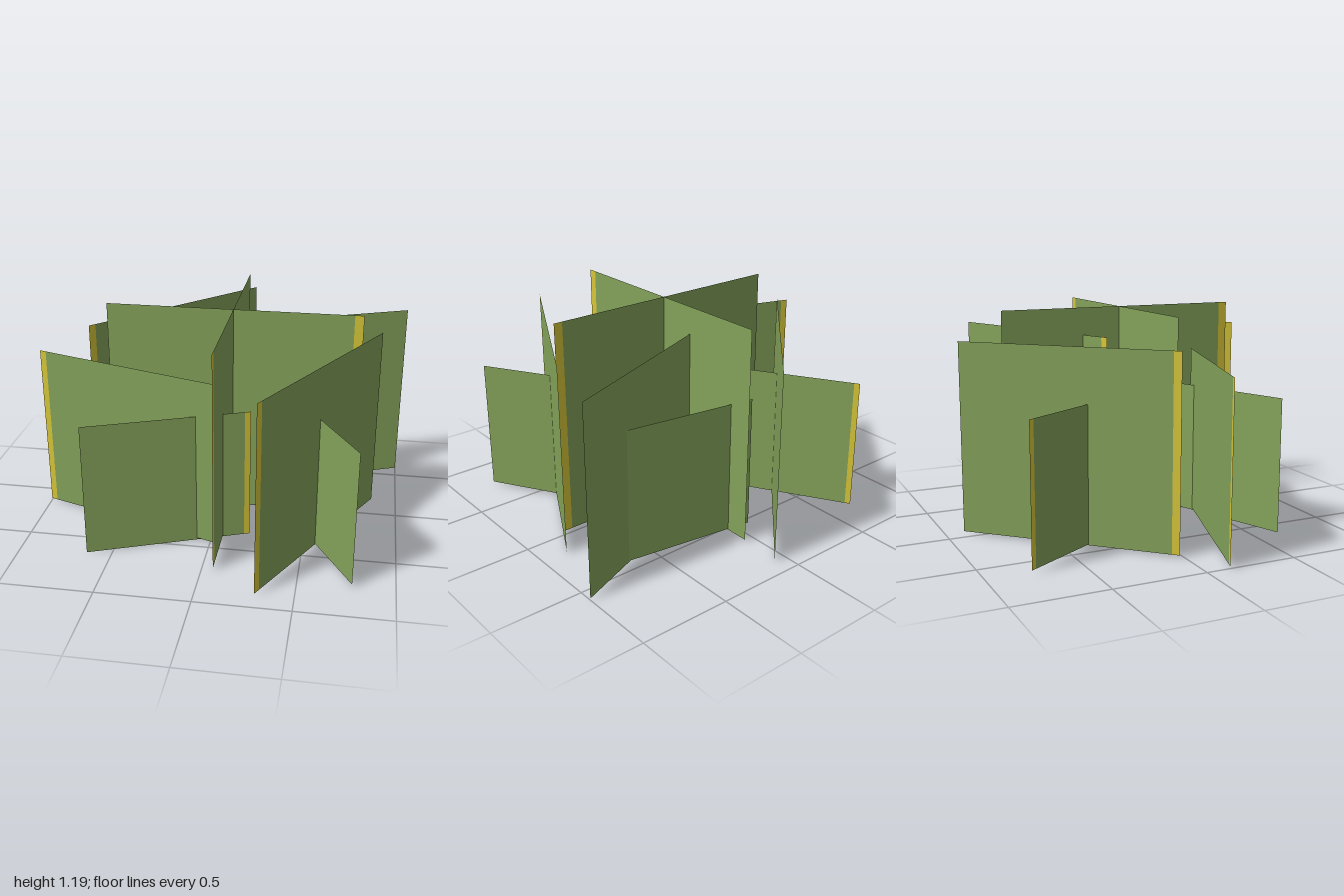
import * as THREE from 'three';

const green = new THREE.MeshStandardMaterial({ color: 0x83a159, side: THREE.DoubleSide });
green.name = 'leaf green';
const yellow = new THREE.MeshStandardMaterial({ color: 0xd6c538, side: THREE.DoubleSide });
yellow.name = 'edge yellow';

// Each card: yellow end [x, z], plain end [x, z], bottom, top
const cards = [
  ['centreCardAcross', [0.755, 0.02], [-0.64, 0.02], 0.01, 1.195],
  ['centreCardDeep', [0.06, 0.71], [0.06, -0.665], 0.01, 1.195],
  ['backRightTallCard', [-0.76, -0.02], [0.07, -0.9], 0.01, 1.045],
  ['frontLeftTallCard', [0.3, 0.9], [0.86, -0.16], 0.01, 1.045],
  ['backLeftTallCard', [-0.11, -0.13], [1.0, -0.58], 0.01, 1.045],
  ['frontRightMiddleCard', [-1.0, 0.13], [0.02, 0.46], 0.01, 0.94],
  ['frontShortCard', [0.2, 0.32], [-0.635, 0.65], 0.0, 0.74],
  ['leftShortCard', [0.32, -0.02], [0.78, 0.75], 0.015, 0.755],
  ['backShortCard', [-0.66, -0.77], [-0.2, 0.0], 0.015, 0.755],
  ['backLeftShortCard', [0.82, -0.42], [-0.07, -0.55], 0.015, 0.755],
];

// Upright sheet between two points on the ground plan
function sheet(name, a, b, bottom, top, material) {
  const dx = b[0] - a[0], dz = b[1] - a[1];
  const mesh = new THREE.Mesh(new THREE.PlaneGeometry(Math.hypot(dx, dz), top - bottom), material);
  mesh.name = name;
  mesh.position.set((a[0] + b[0]) / 2, (bottom + top) / 2, (a[1] + b[1]) / 2);
  mesh.rotation.y = Math.atan2(-dz, dx);
  return mesh;
}

export function createModel() {
  const model = new THREE.Group();
  model.name = 'foliageCards';
  const strip = 0.035; // share of the card taken by the yellow edge
  for (const [name, a, b, bottom, top] of cards) {
    const split = a.map((v, i) => v + (b[i] - v) * strip);
    const card = new THREE.Group();
    card.name = name;
    card.add(sheet('edgeStrip', a, split, bottom, top, yellow));
    card.add(sheet('leafSheet', split, b, bottom, top, green));
    model.add(card);
  }
  return model;
}
